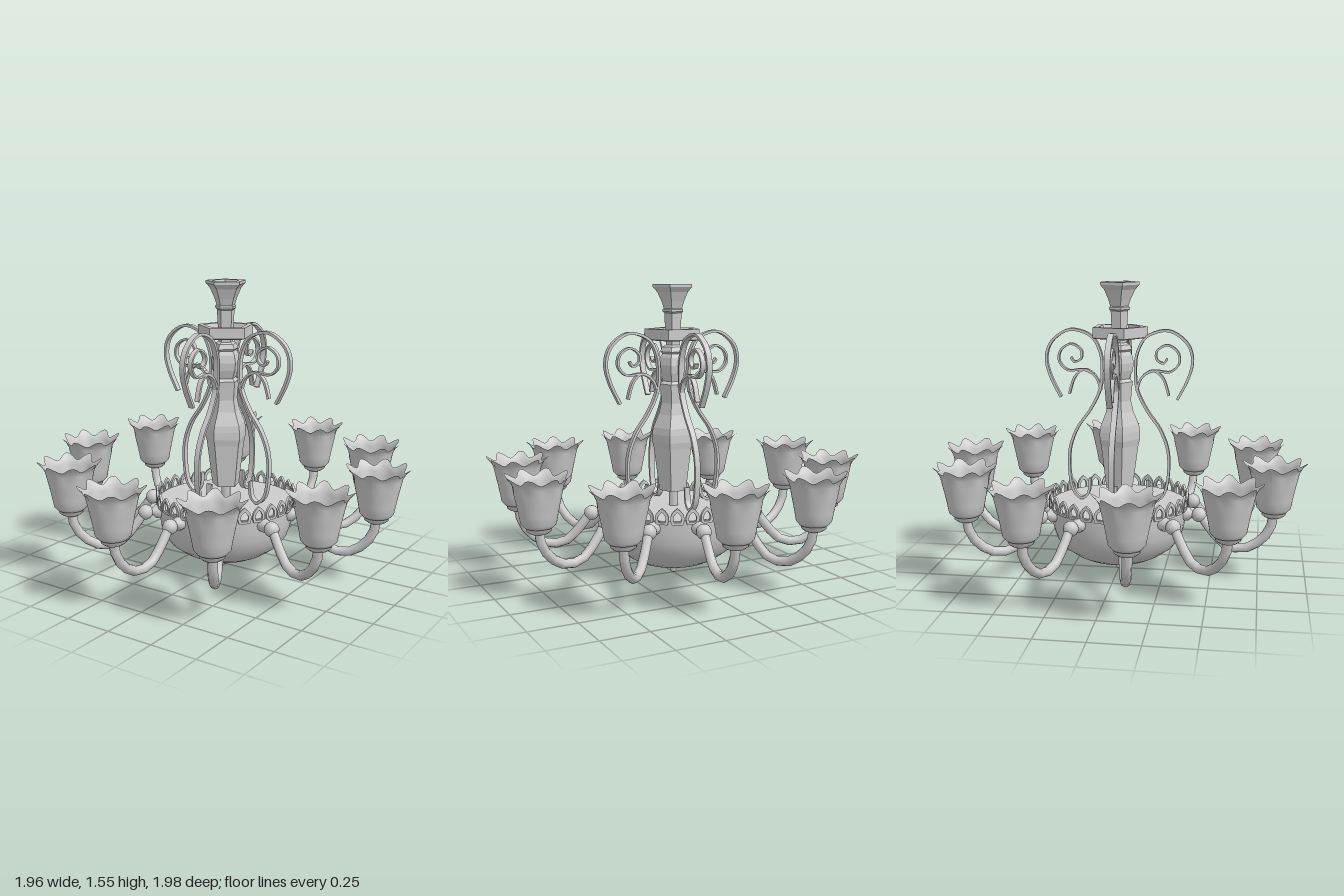
import * as THREE from 'three';

const V2 = (p) => new THREE.Vector2(p[0], p[1]);
const smooth = new THREE.MeshStandardMaterial({ color: 0xcccccc, side: THREE.DoubleSide });
const flat = new THREE.MeshStandardMaterial({ color: 0xcccccc, side: THREE.DoubleSide, flatShading: true });

function add(parent, name, geometry, material = smooth) {
  const mesh = new THREE.Mesh(geometry, material);
  mesh.name = name;
  parent.add(mesh);
  return mesh;
}

const lathe = (profile, sides) => new THREE.LatheGeometry(profile.map(V2), sides);

// Flat strip following a curve in the xy plane, centred on z = 0
function ribbon(points, thickness, width, steps) {
  const curve = new THREE.SplineCurve(points.map(V2));
  const outer = [], inner = [];
  for (let i = 0; i <= steps; i++) {
    const p = curve.getPoint(i / steps), t = curve.getTangent(i / steps);
    const n = new THREE.Vector2(-t.y, t.x).multiplyScalar(thickness / 2);
    outer.push(p.clone().add(n));
    inner.unshift(p.clone().sub(n));
  }
  const g = new THREE.ExtrudeGeometry(new THREE.Shape([...outer, ...inner]), { depth: width, bevelEnabled: false });
  return g.translate(0, 0, -width / 2);
}

// Bell shade whose lip flares into eight scallops
function shadeGeometry() {
  const profile = [[0, 0.385], [0.07, 0.385], [0.088, 0.405], [0.096, 0.45], [0.106, 0.5],
    [0.117, 0.55], [0.124, 0.59], [0.135, 0.615], [0.15, 0.63]];
  const g = lathe(profile, 64), pos = g.attributes.position;
  for (let i = 0; i < pos.count; i++) {
    const x = pos.getX(i), y = pos.getY(i), z = pos.getZ(i);
    const k = THREE.MathUtils.clamp((y - 0.55) / 0.08, 0, 1);
    const wave = Math.cos(8 * Math.atan2(z, x));
    const s = 1 + 0.11 * k * k * wave;
    pos.setXYZ(i, x * s, y + 0.016 * k * k * wave, z * s);
  }
  g.computeVertexNormals();
  return g;
}

// Pointed arch with an opening, standing on y = 0
function archGeometry() {
  const outline = (path, w, y0, h) => {
    path.moveTo(-w * 0.7, y0);
    path.quadraticCurveTo(-w * 1.3, y0 + h * 0.6, 0, y0 + h);
    path.quadraticCurveTo(w * 1.3, y0 + h * 0.6, w * 0.7, y0);
    path.closePath();
    return path;
  };
  const shape = outline(new THREE.Shape(), 0.04, 0, 0.085);
  shape.holes.push(outline(new THREE.Path(), 0.023, 0.012, 0.052));
  return new THREE.ExtrudeGeometry(shape, { depth: 0.012, bevelEnabled: false, curveSegments: 5 });
}

export function createModel() {
  const model = new THREE.Group();
  model.name = 'chandelier';

  // Bowl, its lid and the finial underneath
  add(model, 'bowl', lathe([[0, 0.08], [0.19, 0.08], [0.24, 0.105], [0.3, 0.148], [0.335, 0.195],
    [0.353, 0.25], [0.362, 0.31], [0.365, 0.37]], 40));
  add(model, 'bowlLid', new THREE.CylinderGeometry(0.366, 0.366, 0.014, 40), flat).position.y = 0.368;
  add(model, 'finial', lathe([[0, 0], [0.012, 0.004], [0.017, 0.016], [0.012, 0.028], [0.03, 0.033],
    [0.052, 0.05], [0.062, 0.07], [0.062, 0.085]], 16));

  // Openwork gallery around the bowl rim
  const gallery = new THREE.Group();
  gallery.name = 'gallery';
  model.add(gallery);
  const arch = archGeometry();
  for (let i = 0; i < 30; i++) {
    const a = (i / 30) * Math.PI * 2;
    const m = add(gallery, 'galleryArch', arch, flat);
    m.position.set(Math.sin(a) * 0.364, 0.358, Math.cos(a) * 0.364);
    m.rotation.y = a;
  }

  // Five-sided column, collar and top cup
  add(model, 'stem', new THREE.CylinderGeometry(0.025, 0.025, 0.14, 8)).position.y = 0.43;
  add(model, 'column', lathe([[0, 0.46], [0.075, 0.46], [0.105, 0.69], [0.114, 0.725], [0.114, 0.765],
    [0.108, 0.8], [0.078, 0.87], [0.064, 0.93], [0.07, 1.0], [0.074, 1.03], [0.056, 1.045],
    [0.074, 1.09], [0.079, 1.13], [0.07, 1.17], [0.058, 1.19], [0.07, 1.2], [0.058, 1.225],
    [0.04, 1.235], [0.04, 1.3]], 5), flat);
  add(model, 'collar', lathe([[0, 1.285], [0.125, 1.285], [0.142, 1.26], [0.152, 1.265], [0.152, 1.32],
    [0.12, 1.32], [0.11, 1.295], [0, 1.295]], 5), flat);
  add(model, 'topCup', lathe([[0.042, 1.29], [0.048, 1.4], [0.057, 1.408], [0.057, 1.42], [0.05, 1.425],
    [0.062, 1.46], [0.085, 1.51], [0.108, 1.535], [0.108, 1.55], [0.076, 1.55], [0.045, 1.45],
    [0, 1.45]], 5), flat);

  // Four scroll brackets
  const bracket = ribbon([[0.31, 0.94], [0.365, 1.05], [0.387, 1.15], [0.355, 1.24], [0.26, 1.3],
    [0.15, 1.27], [0.1, 1.19], [0.088, 1.1], [0.098, 0.99], [0.15, 0.88], [0.22, 0.78], [0.262, 0.67],
    [0.268, 0.55], [0.25, 0.44], [0.205, 0.39], [0.165, 0.42], [0.155, 0.5]], 0.014, 0.03, 72);
  const tail = ribbon([[0.095, 0.98], [0.12, 1.05], [0.18, 1.09], [0.235, 1.05], [0.265, 0.96]], 0.012, 0.026, 24);
  const curl = ribbon([[0.13, 1.065], [0.19, 1.09], [0.27, 1.085], [0.317, 1.13], [0.31, 1.19], [0.255, 1.225],
    [0.202, 1.195], [0.2, 1.15], [0.235, 1.13], [0.255, 1.155]], 0.011, 0.026, 48);
  for (let i = 0; i < 4; i++) {
    const scroll = new THREE.Group();
    scroll.name = 'scrollBracket';
    add(scroll, 'bracketStrip', bracket);
    add(scroll, 'bracketTail', tail);
    add(scroll, 'bracketCurl', curl);
    scroll.rotation.y = i * Math.PI / 2;
    model.add(scroll);
  }

  // Ten lamps on curved arms; local +x points outwards
  const path = new THREE.CatmullRomCurve3([[0.45, 0.33], [0.51, 0.25], [0.575, 0.185], [0.67, 0.168],
    [0.76, 0.215], [0.815, 0.29], [0.83, 0.37]].map(([x, y]) => new THREE.Vector3(x, y, 0)));
  const armGeo = new THREE.TubeGeometry(path, 9, 0.025, 8);
  const mountGeo = lathe([[0.036, 0.34], [0.036, 0.385], [0.02, 0.4], [0.02, 0.45]], 10).rotateZ(-Math.PI / 2);
  const knobGeo = new THREE.SphereGeometry(0.04, 12, 8);
  const socketGeo = lathe([[0, 0.355], [0.045, 0.355], [0.062, 0.368], [0.062, 0.385], [0.072, 0.39], [0.07, 0.405]], 16);
  const shadeGeo = shadeGeometry();
  for (let i = 0; i < 10; i++) {
    const lamp = new THREE.Group();
    lamp.name = 'lamp';
    add(lamp, 'arm', armGeo);
    add(lamp, 'armMount', mountGeo).position.y = 0.335;
    add(lamp, 'armKnob', knobGeo).position.set(0.44, 0.335, 0);
    add(lamp, 'socket', socketGeo).position.x = 0.83;
    add(lamp, 'shade', shadeGeo).position.x = 0.83;
    lamp.rotation.y = THREE.MathUtils.degToRad(11 - i * 36);
    model.add(lamp);
  }
  return model;
}
